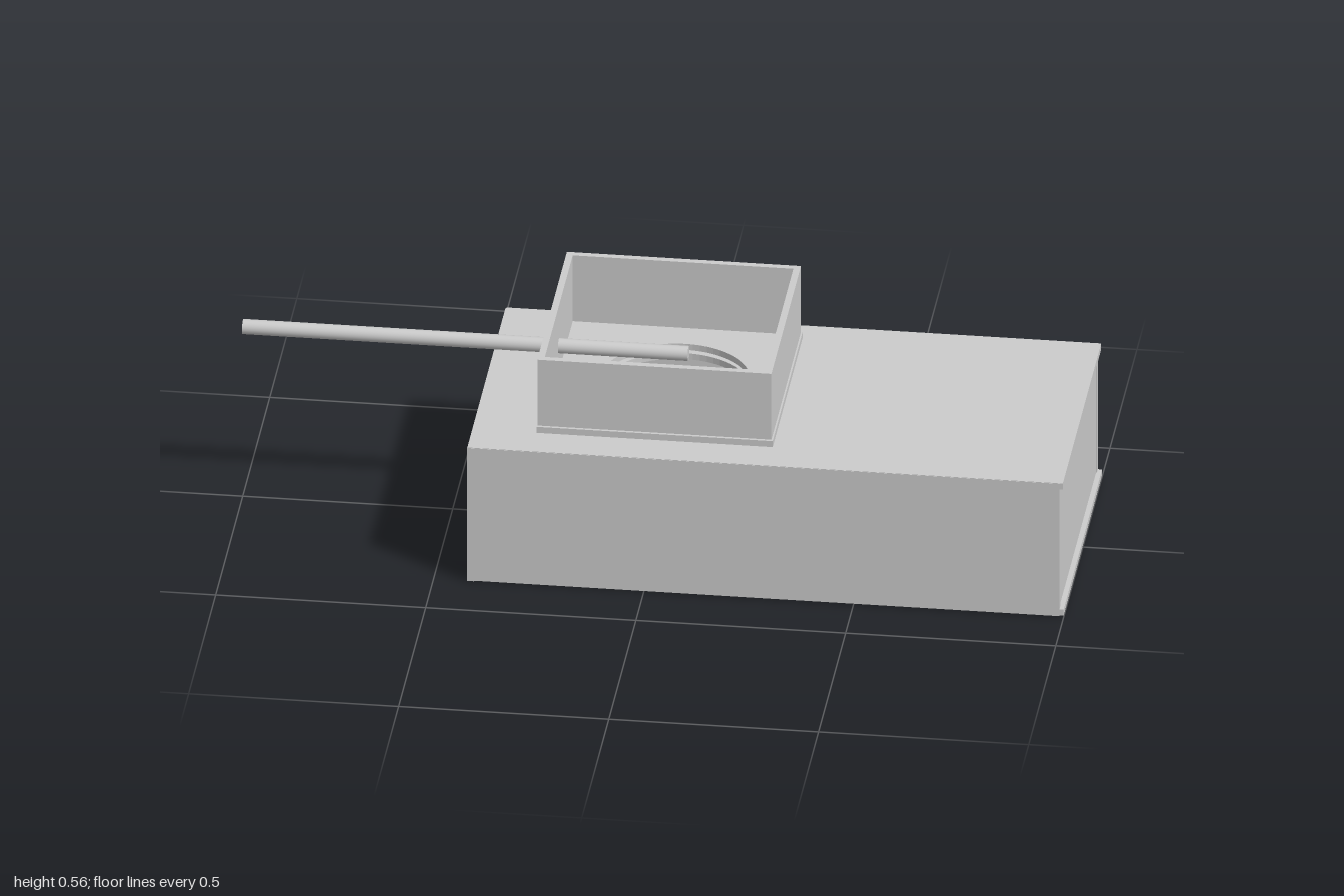
import * as THREE from 'three';

const material = new THREE.MeshStandardMaterial({ color: 0xcccccc, flatShading: true });
const barrelMaterial = new THREE.MeshStandardMaterial({ color: 0xcccccc });

// Flat panel given by its limits on each axis
function panel(name, [x0, x1], [y0, y1], [z0, z1]) {
  const mesh = new THREE.Mesh(new THREE.BoxGeometry(x1 - x0, y1 - y0, z1 - z0), material);
  mesh.name = name;
  mesh.position.set((x0 + x1) / 2, (y0 + y1) / 2, (z0 + z1) / 2);
  return mesh;
}

// Horizontal plate with the round turret opening cut through it
function ringPlate(name, [x0, x1], [y0, y1], [z0, z1]) {
  const shape = new THREE.Shape([
    new THREE.Vector2(x0, -z1), new THREE.Vector2(x1, -z1),
    new THREE.Vector2(x1, -z0), new THREE.Vector2(x0, -z0),
  ]);
  const hole = new THREE.Path();
  hole.absarc(0.03, 0.003, 0.178, 0, Math.PI * 2, true);
  shape.holes.push(hole);
  const geometry = new THREE.ExtrudeGeometry(shape, { depth: y1 - y0, bevelEnabled: false, curveSegments: 32 });
  geometry.rotateX(-Math.PI / 2);
  const mesh = new THREE.Mesh(geometry, material);
  mesh.name = name;
  mesh.position.y = y0;
  return mesh;
}

export function createModel() {
  const model = new THREE.Group();
  model.name = 'tank';
  const t = 0.016; // panel thickness

  // Hollow hull: plates overhang the end panel at +x
  const hull = new THREE.Group();
  hull.name = 'hull';
  hull.add(
    ringPlate('hullTop', [-0.418, 0.998], [0.341, 0.357], [-0.355, 0.354]),
    panel('hullBottom', [-0.418, 1], [0.004, 0.02], [-0.355, 0.354]),
    panel('hullFrontSide', [-0.42, 0.99], [0.002, 0.356], [0.355 - t, 0.355]),
    panel('hullBackSide', [-0.42, 0.99], [0.018, 0.343], [-0.354, -0.354 + t]),
    panel('hullNose', [-0.42, -0.42 + t], [0, 0.356], [-0.354, 0.354]),
    panel('hullTail', [0.988 - t, 0.988], [0.018, 0.343], [-0.353, 0.353]),
  );

  // Open-topped turret sitting just above the hull
  const turret = new THREE.Group();
  turret.name = 'turret';
  const wallY = [0.381, 0.558];
  turret.add(
    ringPlate('turretFloor', [-0.265, 0.298], [0.366, 0.382], [-0.276, 0.277]),
    panel('turretFrontWall', [-0.264, 0.294], wallY, [0.27 - t, 0.27]),
    panel('turretBackWall', [-0.264, 0.294], wallY, [-0.276, -0.276 + t]),
    panel('turretNoseWall', [-0.264, -0.264 + t], wallY, [-0.275, 0.269]),
    panel('turretTailWall', [0.294 - t, 0.294], wallY, [-0.275, 0.269]),
  );

  // Gun barrel passing through the turret wall
  const barrel = new THREE.Mesh(new THREE.CylinderGeometry(0.018, 0.018, 1.06, 24), barrelMaterial);
  barrel.name = 'gunBarrel';
  barrel.rotation.z = Math.PI / 2;
  barrel.position.set(-0.47, 0.452, -0.004);

  model.add(hull, turret, barrel);
  return model;
}
